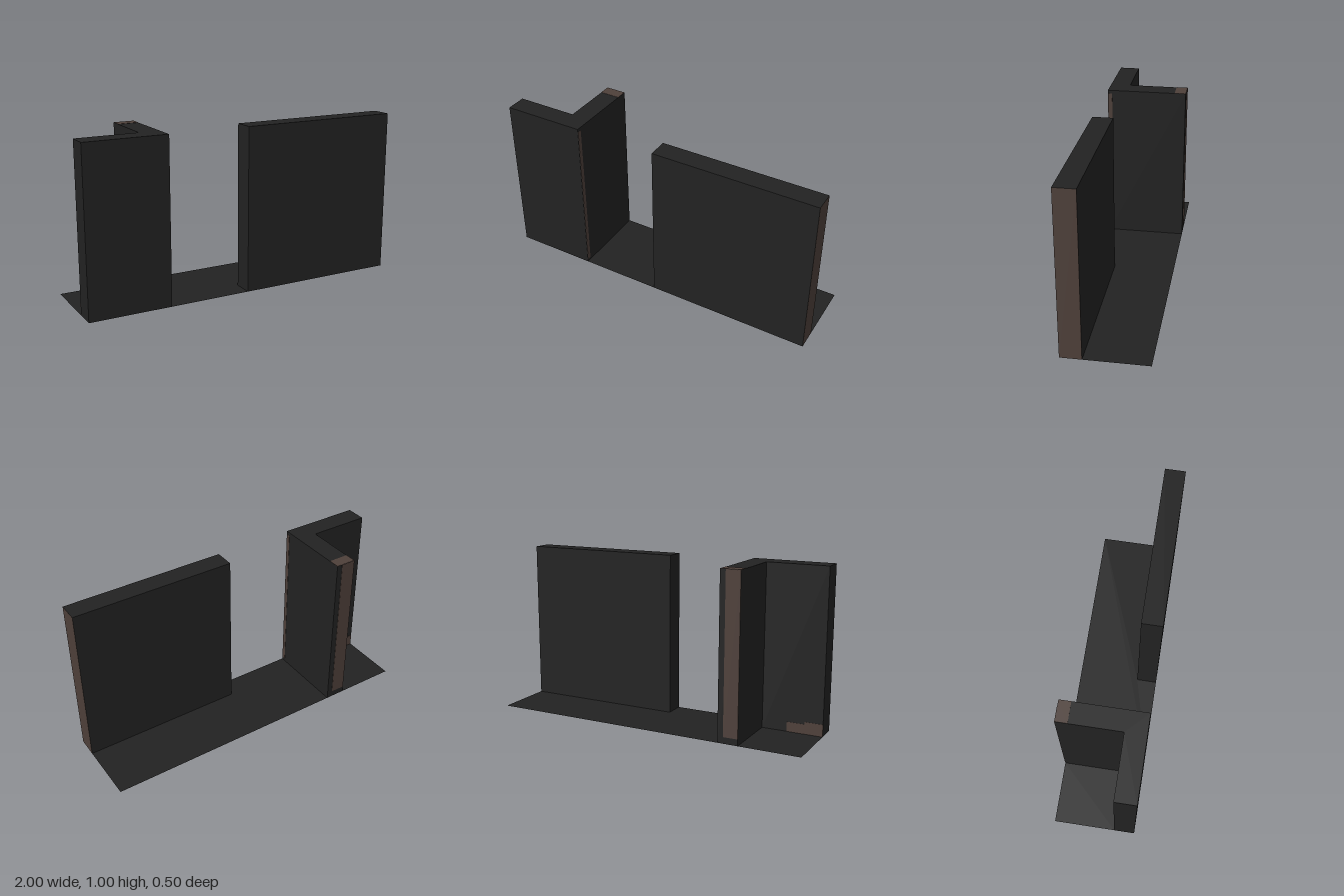
import * as THREE from 'three';
import { mergeGeometries } from 'three/addons/utils/BufferGeometryUtils.js';

const HEIGHT = 1;

// Flat horizontal face from [x, z] corners, facing up
function flatFace(points, y) {
  const shape = new THREE.Shape(points.map(([x, z]) => new THREE.Vector2(x, -z)));
  return new THREE.ShapeGeometry(shape).rotateX(-Math.PI / 2).translate(0, y, 0);
}

// Upright face from one [x, z] corner to the next, facing right of the path's inside
function uprightFace([x0, z0], [x1, z1]) {
  const length = Math.hypot(x1 - x0, z1 - z0);
  return new THREE.PlaneGeometry(length, HEIGHT)
    .rotateY(Math.atan2(-(z1 - z0), x1 - x0))
    .translate((x0 + x1) / 2, HEIGHT / 2, (z0 + z1) / 2);
}

export function createModel() {
  const model = new THREE.Group();
  model.name = 'wallSection';

  const charcoal = new THREE.MeshStandardMaterial({ color: 0x222222, side: THREE.DoubleSide });
  charcoal.name = 'charcoal';
  const brown = new THREE.MeshStandardMaterial({ color: 0x4e403a, side: THREE.DoubleSide });
  brown.name = 'wornBrown';

  const add = (name, geometry, material) => {
    const mesh = new THREE.Mesh(geometry, material);
    mesh.name = name;
    model.add(mesh);
  };

  // Hollow wall, open underneath; one side may be left out
  const addWall = (name, outline, skipped = -1) => {
    const faces = [flatFace(outline, HEIGHT)];
    outline.forEach((p, i) => {
      if (i !== skipped) faces.push(uprightFace(p, outline[(i + 1) % outline.length]));
    });
    add(name, mergeGeometries(faces), charcoal);
  };

  // Long straight wall with a brown end and an inner divider
  addWall('longWall', [[0, 0.25], [1, 0.25], [1, 0.125], [0, 0.125]], 1);
  add('longWallEnd', uprightFace([1, 0.25], [1, 0.125]), brown);
  add('longWallDivider', uprightFace([0.5, 0.25], [0.5, 0.125]), charcoal);

  // L-shaped corner wall
  addWall('cornerWall', [
    [-1, 0.25], [-0.5, 0.25], [-0.5, -0.25], [-0.625, -0.25], [-0.625, 0.125], [-1, 0.125],
  ]);

  // Floor, left open beneath the walls
  add('mainFloor', flatFace([
    [-0.5, 0.25], [0, 0.25], [0, 0.125], [1, 0.125], [1, -0.25], [-0.5, -0.25],
  ], 0), charcoal);
  add('cornerFloor', flatFace([
    [-1, 0.125], [-0.625, 0.125], [-0.625, -0.25], [-1, -0.25],
  ], 0), charcoal);

  // Worn patches on the corner wall: size, then centre
  const patches = [
    ['wornBackEnd', [0.09, 0.96, 0.003], [-0.58, 0.52, -0.25]],
    ['wornTop', [0.124, 0.003, 0.07], [-0.5625, 1, -0.2145]],
    ['wornFrontEdge', [0.003, 0.96, 0.025], [-0.5, 0.5, 0.235]],
    ['wornBaseInner', [0.11, 0.06, 0.003], [-0.835, 0.03, 0.125]],
    ['wornBaseOuter', [0.11, 0.075, 0.003], [-0.945, 0.0375, 0.125]],
  ];
  for (const [name, size, centre] of patches) {
    add(name, new THREE.BoxGeometry(...size).translate(...centre), brown);
  }

  return model;
}
